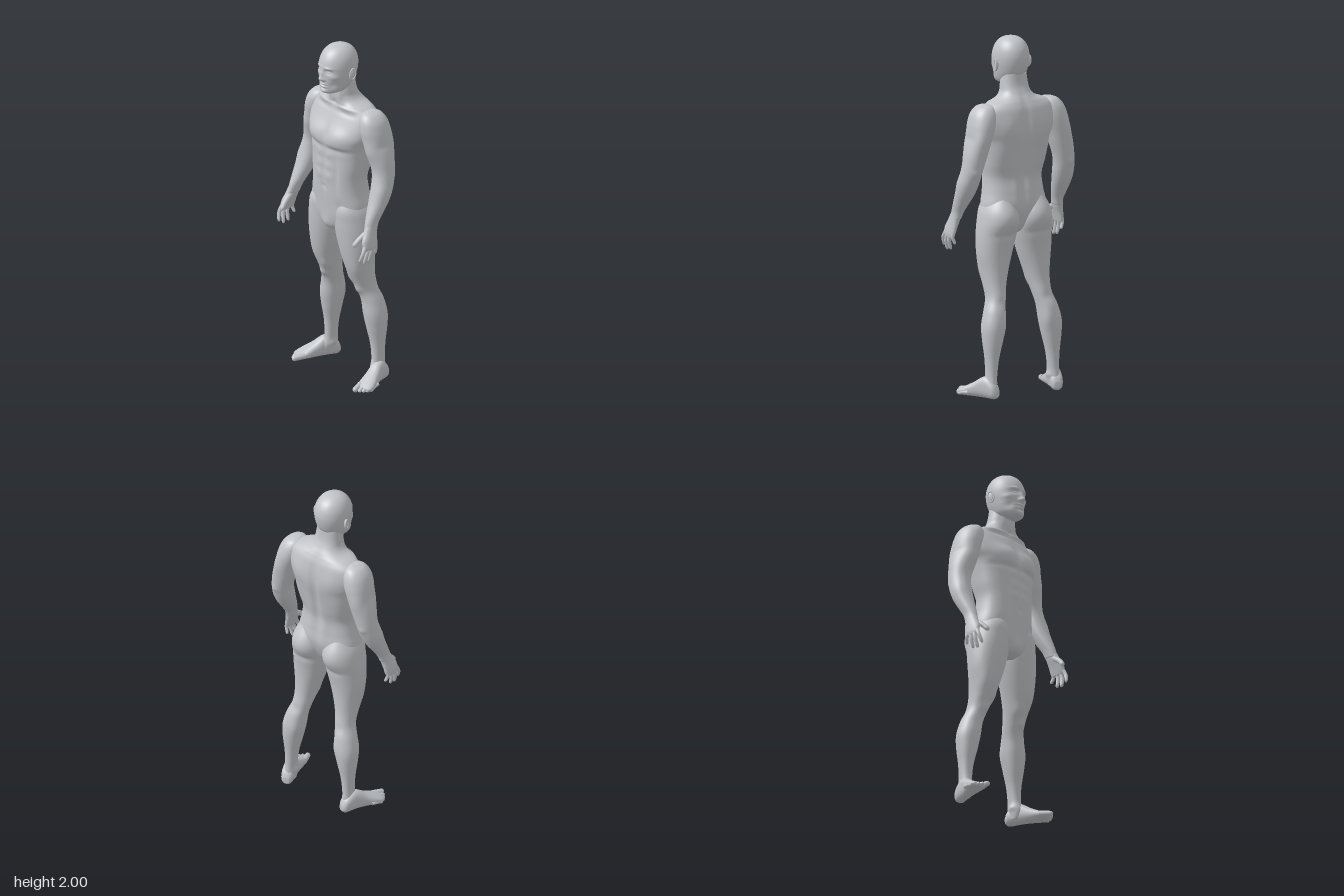
import * as THREE from 'three';

const skin = new THREE.MeshStandardMaterial({ color: 0xc3c4c8 });
skin.name = 'clay grey';

// Smooth interpolation through a list of cross-sections, u in 0..1
function sectionAt(list, u) {
  const f = u * (list.length - 1), i = Math.min(Math.floor(f), list.length - 2), t = f - i;
  const [a, b, c, d] = [-1, 0, 1, 2].map(k => list[Math.min(Math.max(i + k, 0), list.length - 1)]);
  return b.map((_, k) => b[k] + 0.5 * t * (c[k] - a[k]
    + t * (2 * a[k] - 5 * b[k] + 4 * c[k] - d[k] + t * (3 * (b[k] - c[k]) + d[k] - a[k]))));
}

// Closed skin over sections [y, xMin, xMax, zMin, zMax]; n is the squareness.
// Each bump [x, y, z, rx, ry, rz, height] swells or dents the surface, mirrored in x.
function loft(sections, rows, segs, n = 2, bumps = []) {
  const pos = [], index = [];
  const up = sections.at(-1)[0] > sections[0][0];
  const tri = (a, b, c) => up ? index.push(a, c, b) : index.push(a, b, c);
  const power = v => Math.sign(v) * Math.abs(v) ** (2 / n);
  for (let i = 0; i <= rows; i++) {
    const [y, x0, x1, z0, z1] = sectionAt(sections, i / rows);
    for (let j = 0; j < segs; j++) {
      const t = j / segs * Math.PI * 2;
      pos.push((x0 + x1) / 2 + (x1 - x0) / 2 * power(Math.cos(t)), y,
        (z0 + z1) / 2 + (z1 - z0) / 2 * power(Math.sin(t)));
      if (i < rows) {
        const a = i * segs + j, b = i * segs + (j + 1) % segs;
        tri(a, b, a + segs);
        tri(b, b + segs, a + segs);
      }
    }
  }
  // Close both ends
  const top = pos.length / 3, last = rows * segs;
  for (const [y, x0, x1, z0, z1] of [sections[0], sections.at(-1)]) pos.push((x0 + x1) / 2, y, (z0 + z1) / 2);
  for (let j = 0; j < segs; j++) {
    const k = (j + 1) % segs;
    tri(top, k, j);
    tri(top + 1, last + j, last + k);
  }
  const g = new THREE.BufferGeometry();
  g.setAttribute('position', new THREE.Float32BufferAttribute(pos, 3));
  g.setIndex(index);
  g.computeVertexNormals();
  const p = g.attributes.position, nr = g.attributes.normal;
  for (let i = 0; i < p.count; i++) {
    const x = p.getX(i), y = p.getY(i), z = p.getZ(i);
    let h = 0;
    for (const [bx, by, bz, rx, ry, rz, amount] of bumps)
      h += amount * Math.exp(-(((Math.abs(x) - bx) / rx) ** 2) - ((y - by) / ry) ** 2 - ((z - bz) / rz) ** 2);
    p.setXYZ(i, x + nr.getX(i) * h, y + nr.getY(i) * h, z + nr.getZ(i) * h);
  }
  g.computeVertexNormals();
  return g;
}

// Finger or toe: a tapering tube with a round tip
function digit(points, r) {
  const curve = new THREE.CatmullRomCurve3(points.map(p => new THREE.Vector3(...p)));
  const g = new THREE.TubeGeometry(curve, 24, r, 12), p = g.attributes.position, v = new THREE.Vector3();
  for (let i = 0; i < p.count; i++) {
    const u = Math.floor(i / 13) / 24, c = curve.getPointAt(u);
    const round = Math.sqrt(Math.max(0.0001, 1 - Math.max(0, (u - 0.83) / 0.17) ** 2));
    v.fromBufferAttribute(p, i).sub(c).multiplyScalar((1 - 0.25 * u) * round).add(c);
    p.setXYZ(i, v.x, v.y, v.z);
  }
  g.computeVertexNormals();
  return g;
}

const centred = list => list.map(([y, w, back, front]) => [y, -w, w, back, front]);

export function createModel() {
  const model = new THREE.Group();
  model.name = 'standingFigure';
  const add = (name, geometry) => {
    const m = new THREE.Mesh(geometry, skin);
    m.name = name;
    model.add(m);
  };
  // Adds the left part and its mirror image
  const pair = (name, g) => {
    add('left' + name, g);
    const r = g.clone().scale(-1, 1, 1);
    r.setIndex([...g.index.array].reverse());
    add('right' + name, r);
  };

  // Neck, chest, belly and pelvis
  add('torso', loft(centred([
    [1.80, .07, -.08, .04], [1.74, .078, -.088, .042], [1.70, .086, -.105, .042], [1.67, .115, -.125, .04],
    [1.645, .18, -.14, .04], [1.61, .225, -.155, .05], [1.55, .24, -.165, .078], [1.49, .228, -.168, .106],
    [1.44, .205, -.164, .118], [1.38, .194, -.153, .112], [1.30, .184, -.138, .114], [1.22, .171, -.122, .117],
    [1.14, .177, -.13, .115], [1.06, .192, -.138, .11], [.98, .185, -.115, .103], [.92, .11, -.08, .085],
    [.89, .04, -.03, .05],
  ]), 120, 96, 2.35, [
    [.09, 1.475, .1, .075, .055, .07, .014],    // chest muscles
    [.09, 1.405, .1, .08, .016, .06, -.009],    // crease below chest
    [0, 1.48, .12, .012, .07, .06, -.010],      // breastbone
    [0, 1.25, .12, .009, .13, .05, -.006],      // belly midline
    ...[1.365, 1.3, 1.235].map(y => [.036, y, .12, .026, .024, .05, .006]),
    [.09, 1.25, .1, .014, .12, .06, -.005],     // side of belly muscles
    [0, 1.165, .12, .010, .010, .05, -.010],    // navel
    [.11, 1.07, .09, .025, .03, .05, -.005],    // groin line
    [0, .94, .09, .035, .04, .05, .012],
    [.1, 1.64, .03, .08, .009, .04, .007],      // collarbones
    [.1, 1.615, .05, .07, .012, .04, -.006],
    [0, 1.655, .04, .016, .014, .04, -.008],
    [.04, 1.71, .03, .016, .045, .04, .006],    // neck muscles
    [0, 1.38, -.16, .02, .26, .06, -.016],      // spine
    [.11, 1.52, -.16, .055, .07, .06, .009],    // shoulder blades
    [.14, 1.38, -.12, .05, .09, .07, .007],
    [.045, 1.19, -.12, .028, .1, .05, .007],    // lower back
  ]));

  // Head and face
  add('head', loft(centred([
    [2.0, .008, .0, .012], [1.993, .04, -.038, .05], [1.973, .068, -.072, .085], [1.94, .088, -.095, .11],
    [1.90, .097, -.105, .124], [1.86, .097, -.103, .126], [1.82, .091, -.093, .126], [1.79, .085, -.078, .126],
    [1.76, .075, -.055, .124], [1.742, .06, -.03, .12], [1.73, .035, .01, .106],
  ]), 140, 112, 2.05, [
    [0, 1.85, .125, .011, .024, .04, .013],     // nose bridge
    [0, 1.825, .13, .013, .013, .04, .022],     // nose tip
    [.015, 1.819, .125, .008, .009, .04, .008], // nostrils
    [.037, 1.868, .11, .020, .012, .05, -.013], // eye sockets
    [.037, 1.866, .11, .013, .006, .05, .007],  // eyelids
    [.035, 1.889, .115, .024, .008, .05, .005], // brows
    [.063, 1.838, .08, .02, .014, .04, .005],   // cheekbones
    [.058, 1.79, .09, .02, .022, .04, -.006],   // cheeks
    [0, 1.793, .125, .022, .006, .04, .006],    // lips
    [0, 1.777, .125, .020, .006, .04, .006],
    [0, 1.785, .13, .026, .0025, .04, -.005],
    [0, 1.765, .125, .022, .006, .04, -.005],
    [0, 1.748, .12, .022, .011, .04, .006],     // chin
  ]));

  // Ears
  const ear = new THREE.SphereGeometry(1, 20, 16).scale(.009, .034, .019);
  const rim = new THREE.TorusGeometry(.024, .0045, 8, 28).scale(.75, 1.3, 1).rotateY(Math.PI / 2).translate(.005, 0, 0);
  for (const [name, g] of [['Ear', ear], ['EarRim', rim]])
    pair(name, g.rotateX(-.15).rotateY(-.3).translate(.102, 1.848, -.005));

  // Shoulder to wrist
  pair('Arm', loft([
    [1.648, .19, .22, -.075, -.03], [1.635, .165, .255, -.11, .005], [1.60, .152, .286, -.135, .028],
    [1.55, .16, .304, -.148, .035], [1.50, .175, .314, -.15, .03], [1.44, .195, .328, -.146, .02],
    [1.38, .213, .343, -.14, .008], [1.32, .233, .352, -.132, .0], [1.27, .245, .359, -.122, .006],
    [1.21, .252, .367, -.102, .022], [1.15, .263, .367, -.073, .042], [1.09, .28, .361, -.033, .066],
    [1.04, .296, .355, .0, .085], [1.0, .306, .358, .015, .095],
  ], 84, 48, 2.15, [
    [.27, 1.42, .02, .04, .05, .04, .007],      // biceps
    [.29, 1.46, -.15, .04, .06, .04, .006],     // triceps
    [.335, 1.47, -.05, .03, .025, .06, -.006],  // deltoid end
    [.31, 1.275, -.13, .02, .02, .03, .006],    // elbow
    [.36, 1.22, .0, .03, .05, .04, .004],
  ]));

  // Palm and fingers
  pair('Hand', loft([
    [1.04, .302, .352, .005, .082], [.99, .312, .36, .02, .105], [.95, .326, .367, .026, .125],
    [.915, .337, .371, .03, .128], [.895, .343, .369, .038, .12],
  ], 30, 32, 2.4));
  [['IndexFinger', .113, .148, .832, .0125], ['MiddleFinger', .09, .115, .812, .013],
    ['RingFinger', .066, .081, .818, .0125], ['LittleFinger', .043, .035, .856, .011]].forEach(([name, z0, z1, y, r]) =>
    pair(name, digit([[.354, .925, z0], [.359, (.925 + y) / 2 + .005, (z0 + z1) / 2 + .004], [.345, y, z1]], r)));
  pair('Thumb', digit([[.328, .992, .075], [.318, .958, .125], [.308, .918, .163]], .017));

  // Hip to ankle
  pair('Leg', loft([
    [1.13, .05, .15, -.10, .06], [1.05, .014, .197, -.147, .098], [.98, .002, .215, -.158, .1],
    [.90, .006, .224, -.136, .094], [.80, .03, .224, -.12, .08], [.70, .06, .211, -.115, .058],
    [.62, .082, .203, -.118, .026], [.55, .098, .204, -.133, -.008], [.48, .112, .229, -.155, -.026],
    [.40, .122, .248, -.168, -.03], [.32, .137, .246, -.164, -.043], [.22, .16, .236, -.15, -.062],
    [.13, .172, .232, -.146, -.065], [.07, .174, .236, -.15, -.052], [.02, .18, .23, -.15, -.07],
  ], 110, 56, 2.15, [
    [.1, 1.0, -.155, .06, .06, .06, .010],      // buttocks
    [.1, .905, -.14, .08, .018, .05, -.006],    // fold below buttocks
    [.15, .555, -.005, .028, .026, .04, .011],  // kneecap
    [.105, .62, .02, .025, .04, .04, .008],     // inner thigh muscle
    [.19, .7, .04, .03, .07, .04, .005],
    [.15, .535, -.14, .03, .03, .03, -.005],    // back of knee
    [.14, .41, -.15, .025, .06, .04, .006],     // calf
    [.172, .085, -.1, .014, .016, .025, .007],  // ankle bones
    [.236, .075, -.11, .014, .016, .025, .007],
  ]));

  // Feet are shaped heel to toe, then laid flat and turned outward
  const place = g => g.rotateY(.33).translate(.197, 0, -.163);
  pair('Foot', place(loft([
    [0, -.018, .018, -.05, -.012], [.018, -.033, .033, -.085, 0], [.06, -.037, .037, -.118, 0],
    [.1, -.037, .038, -.115, 0], [.15, -.04, .046, -.084, 0], [.2, -.044, .056, -.058, 0],
    [.235, -.043, .055, -.04, -.002], [.256, -.033, .042, -.028, -.006],
  ], 44, 40, 2.4).rotateX(Math.PI / 2)));
  [[-.027, .292, .019], [-.001, .283, .0135], [.018, .272, .013], [.035, .258, .0125], [.049, .24, .0115]]
    .forEach(([x, end, r], i) => pair(i ? 'SmallToe' + i : 'BigToe',
      place(digit([[x, .026, end - .075], [x, .021, end - .035], [x, r * .85, end]], r))));

  return model;
}
